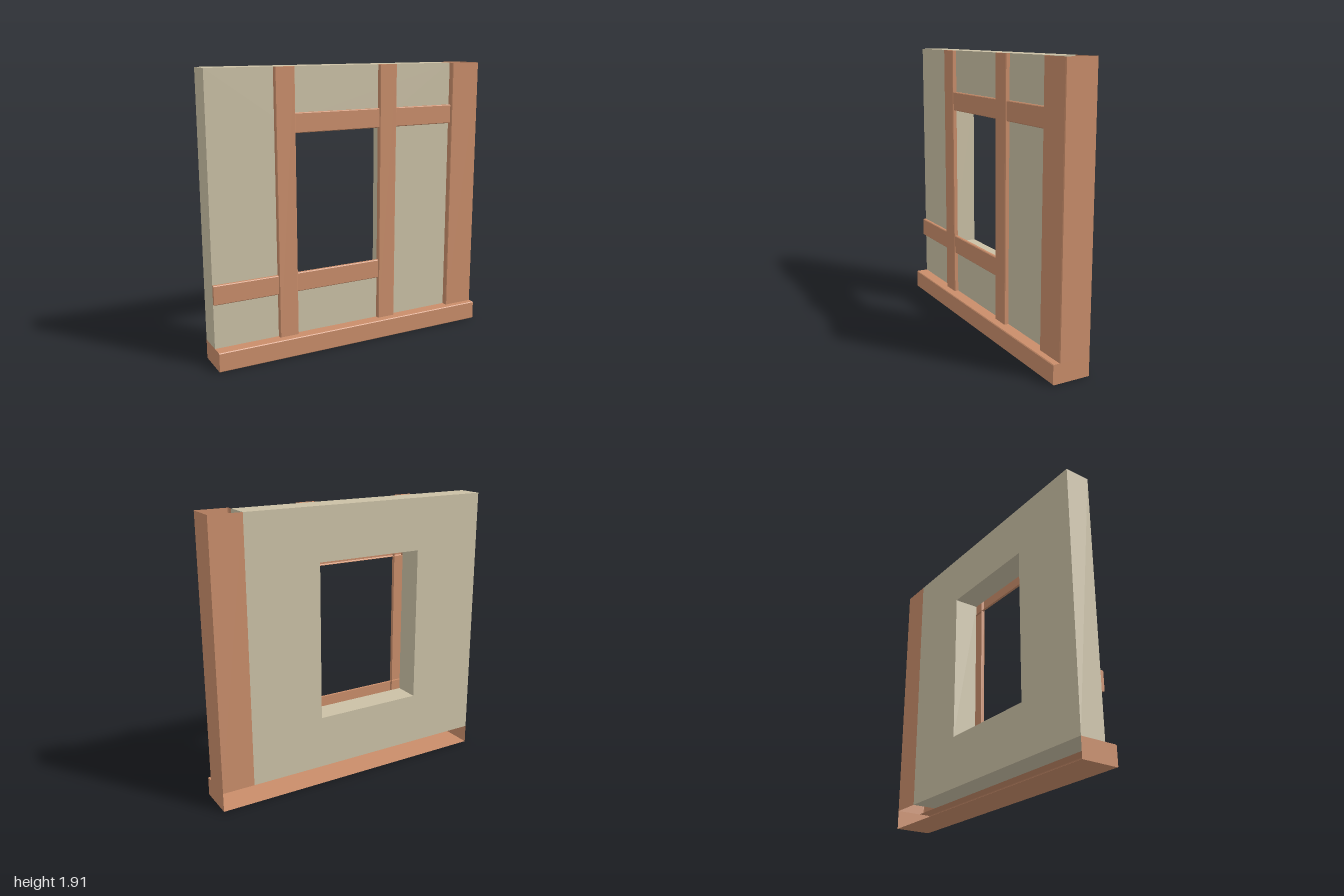
import * as THREE from 'three';

const timber = new THREE.MeshStandardMaterial({ color: 0xc98d6a, side: THREE.DoubleSide, flatShading: true });
const plaster = new THREE.MeshStandardMaterial({ color: 0xcac0a5, flatShading: true });

const BACK = -0.13, FACE = 0.045, SILL = 0.13, TOP = 1.91, CH = 0.005;

// Thin open shell: sweeps a 2D profile along local z from 'from' to 'to'.
// capProfile, if given, closes both ends.
function channel(name, profile, from, to, capProfile) {
  const group = new THREE.Group();
  group.name = name;
  const pos = [];
  for (let i = 0; i < profile.length - 1; i++) {
    const [ax, ay] = profile[i], [bx, by] = profile[i + 1];
    pos.push(ax, ay, from, bx, by, from, bx, by, to, ax, ay, from, bx, by, to, ax, ay, to);
  }
  const geo = new THREE.BufferGeometry();
  geo.setAttribute('position', new THREE.Float32BufferAttribute(pos, 3));
  geo.computeVertexNormals();
  const sides = new THREE.Mesh(geo, timber);
  sides.name = name + 'Sides';
  group.add(sides);
  if (capProfile) {
    const shape = new THREE.Shape(capProfile.map(([x, y]) => new THREE.Vector2(x, y)));
    for (const z of [from, to]) {
      const cap = new THREE.Mesh(new THREE.ShapeGeometry(shape), timber);
      cap.name = name + 'End';
      cap.position.z = z;
      group.add(cap);
    }
  }
  return group;
}

// Upright beam: profile is (x, -z), swept up y
function stud(name, x0, x1, front) {
  const p = [[x0, -FACE], [x0, CH - front], [x0 + CH, -front], [x1 - CH, -front], [x1, CH - front], [x1, -FACE]];
  const g = channel(name, p, SILL, TOP, p);
  g.rotation.x = -Math.PI / 2;
  return g;
}

// Level beam: profile is (-z, y), swept along x
function rail(name, y0, y1, front, x0, x1) {
  const p = [[-FACE, y0], [CH - front, y0], [-front, y0 + CH], [-front, y1 - CH], [CH - front, y1], [-FACE, y1]];
  const g = channel(name, p, x0, x1, p);
  g.rotation.y = Math.PI / 2;
  return g;
}

export function createModel() {
  const model = new THREE.Group();
  model.name = 'timberFramedWall';

  // Plaster panel with the window opening
  const rect = (C, x0, y0, x1, y1) => new C([[x0, y0], [x1, y0], [x1, y1], [x0, y1]].map(([x, y]) => new THREE.Vector2(x, y)));
  const shape = rect(THREE.Shape, -1, SILL, 0.78, TOP);
  shape.holes.push(rect(THREE.Path, -0.49, 0.49, 0.27, 1.555));
  const panel = new THREE.Mesh(
    new THREE.ExtrudeGeometry(shape, { depth: FACE - BACK, bevelEnabled: false }), plaster);
  panel.name = 'plasterPanel';
  panel.position.z = BACK;
  model.add(panel);

  // Beams framing the opening
  model.add(
    stud('rightStud', -0.555, -0.42, 0.075),
    stud('leftStud', 0.2, 0.33, 0.075),
    rail('lowerRail', 0.43, 0.56, 0.067, -1, 0.27),
    rail('upperRail', 1.49, 1.62, 0.067, -0.49, 0.83));

  // Hollow corner post, open at top and bottom and towards the panel
  const post = channel('cornerPost', [
    [0.78, -FACE], [0.78, -0.08], [0.785, -0.085], [0.995, -0.085], [1, -0.08], [1, -BACK], [0.78, -BACK],
  ], SILL, TOP);
  post.rotation.x = -Math.PI / 2;
  model.add(post);

  // Sill: floor, front and ledge, open at the back
  const sillProfile = [
    [-BACK, 0], [CH - 0.13, 0], [-0.13, CH], [-0.13, SILL - CH], [CH - 0.13, SILL], [-FACE, SILL],
  ];
  const sill = channel('sill', sillProfile, -1, 1, [...sillProfile, [-BACK, SILL]]);
  sill.rotation.y = Math.PI / 2;
  model.add(sill);

  return model;
}
